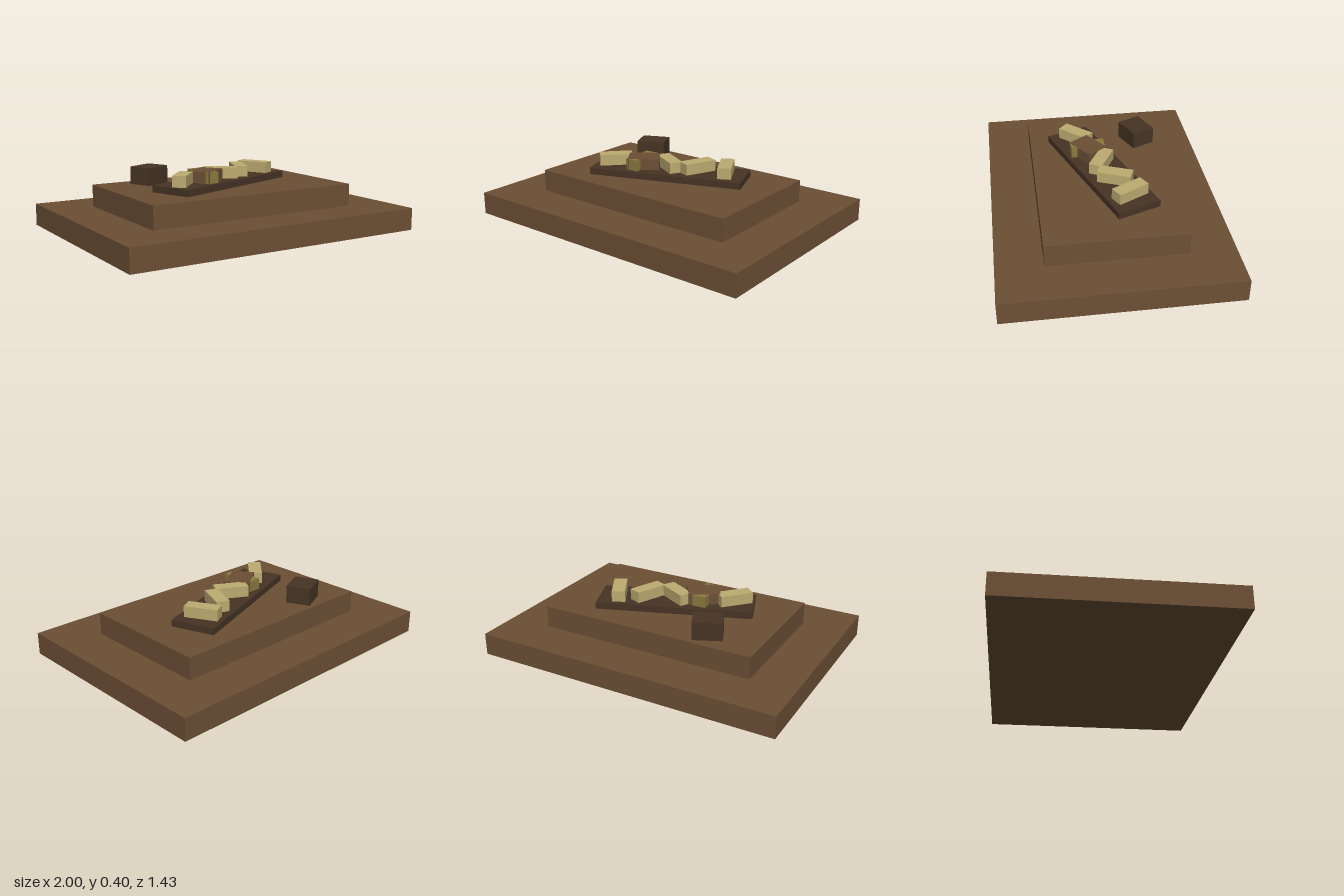
import * as THREE from 'three';

const material = (name, color) => {
  const m = new THREE.MeshStandardMaterial({ color });
  m.name = name;
  return m;
};

export function createModel() {
  const group = new THREE.Group();
  const wood = material('brown wood', 0x6c4f35);
  const dark = material('dark wood', 0x463424);
  const pale = material('pale straw', 0xbcab70);
  const olive = material('olive', 0x8b7a3e);

  // Box resting at height y, turned about the vertical axis
  const addBox = (name, mat, [w, h, d], [x, y, z], turn = 0) => {
    const mesh = new THREE.Mesh(new THREE.BoxGeometry(w, h, d), mat);
    mesh.name = name;
    mesh.position.set(x, y + h / 2, z);
    mesh.rotation.y = turn;
    group.add(mesh);
  };

  // Stepped plinth
  addBox('lowerStep', wood, [2, 0.143, 1.429], [0, 0, 0]);
  addBox('upperStep', wood, [1.429, 0.143, 0.857], [0, 0.143, 0]);

  // Slanted board and the separate dark block behind it
  addBox('board', dark, [1, 0.043, 0.286], [0, 0.286, 0], 0.349);
  addBox('darkBlock', dark, [0.186, 0.114, 0.157], [-0.375, 0.286, -0.29], 0.42);

  // Pale bars in a zigzag along the board: x, z, turn
  const bars = [
    [-0.353, 0.124, 0.83],
    [-0.005, -0.002, -0.5],
    [0.173, -0.065, 1.18],
    [0.348, -0.13, -1.08],
  ];
  bars.forEach(([x, z, turn], i) =>
    addBox(`paleBar${i + 1}`, pale, [0.214, 0.071, 0.086], [x, 0.329, z], turn));

  // Brown block crossed by an olive bar
  addBox('brownBlock', wood, [0.2, 0.072, 0.15], [-0.16, 0.329, 0.065], 0.6);
  addBox('oliveBar', olive, [0.086, 0.071, 0.222], [-0.178, 0.329, 0.067], 0.05);

  return group;
}
